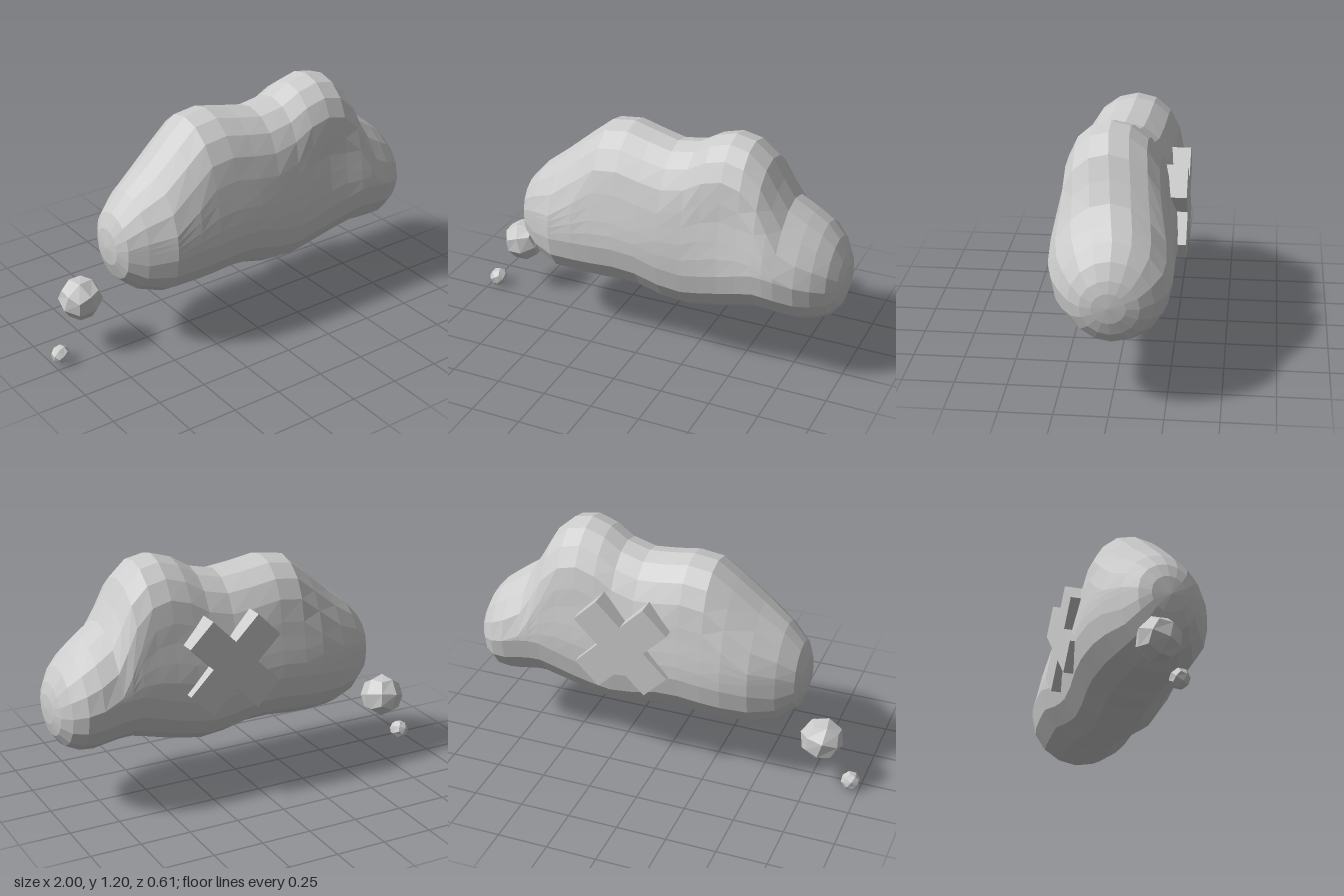
import * as THREE from 'three';

const material = new THREE.MeshStandardMaterial({ color: 0xcccccc, flatShading: true });

// Cloud cross-sections along x: [x, bottom, top, back z, front z, lean of the top in z]
const SECTIONS = [
  [-0.71, 0.58, 0.58, 0, 0, 0],
  [-0.7, 0.49, 0.675, -0.09, 0.08, 0],
  [-0.67, 0.41, 0.75, -0.145, 0.135, 0],
  [-0.59, 0.335, 0.84, -0.2, 0.19, 0],
  [-0.47, 0.292, 0.935, -0.26, 0.258, -0.01],
  [-0.34, 0.288, 1.045, -0.283, 0.272, -0.02],
  [-0.24, 0.292, 1.125, -0.285, 0.277, -0.03],
  [-0.12, 0.302, 1.14, -0.282, 0.28, -0.03],
  [0, 0.296, 1.115, -0.276, 0.282, -0.02],
  [0.12, 0.265, 1.095, -0.268, 0.28, 0],
  [0.24, 0.253, 1.12, -0.265, 0.275, 0.02],
  [0.33, 0.268, 1.175, -0.265, 0.273, 0.03],
  [0.43, 0.29, 1.205, -0.266, 0.275, 0.035],
  [0.525, 0.315, 1.185, -0.268, 0.285, 0.035],
  [0.61, 0.335, 1.11, -0.271, 0.298, 0.03],
  [0.665, 0.333, 1.01, -0.272, 0.303, 0.02],
  [0.72, 0.326, 0.92, -0.272, 0.3, 0.01],
  [0.81, 0.315, 0.86, -0.27, 0.275, 0],
  [0.88, 0.325, 0.808, -0.252, 0.235, 0],
  [0.94, 0.352, 0.74, -0.2, 0.185, 0],
  [0.978, 0.405, 0.665, -0.14, 0.13, 0],
  [0.994, 0.465, 0.61, -0.08, 0.075, 0],
  [1.0, 0.54, 0.54, 0, 0, 0],
];

// Upright rounded outline: half circles above and below straight sides, slimmer in the upper part
function ring([x, bottom, top, back, front, lean]) {
  const w = (front - back) / 2, h = (top - bottom) / 2;
  const r = Math.min(w, h), straight = h - r;
  const cy = (top + bottom) / 2, cz = (front + back) / 2;
  const points = [];
  const add = (a, level) => {
    const y = cy + level * straight + r * Math.sin(a);
    const slim = 1 - 0.16 * THREE.MathUtils.smoothstep(y, 0.6, 0.95);
    const up = Math.max(0, (y - 0.6) / 0.6);
    points.push([x, y, cz + w * Math.cos(a) * slim + lean * up * up]);
  };
  const N = 8;
  for (let i = 0; i <= N; i++) add((i / N) * Math.PI, 1);
  for (const level of [0.5, 0, -0.5]) add(Math.PI, level);
  for (let i = 0; i <= N; i++) add(Math.PI + (i / N) * Math.PI, -1);
  for (const level of [-0.5, 0, 0.5]) add(0, level);
  return points;
}

function cloudGeometry() {
  const rings = SECTIONS.map(ring);
  const n = rings[0].length;
  const index = [];
  for (let s = 0; s < rings.length - 1; s++) {
    for (let i = 0; i < n; i++) {
      const j = (i + 1) % n, a = s * n, b = a + n;
      index.push(a + i, b + i, b + j, a + i, b + j, a + j);
    }
  }
  const geometry = new THREE.BufferGeometry();
  geometry.setAttribute('position', new THREE.Float32BufferAttribute(rings.flat(2), 3));
  geometry.setIndex(index);
  geometry.computeVertexNormals();
  return geometry;
}

// Low-poly ball made from a cube pushed out to a sphere
function ballGeometry(radius) {
  const geometry = new THREE.BoxGeometry(1, 1, 1, 2, 2, 2);
  const p = geometry.attributes.position, v = new THREE.Vector3();
  for (let i = 0; i < p.count; i++) {
    v.fromBufferAttribute(p, i).setLength(radius);
    p.setXYZ(i, v.x, v.y, v.z);
  }
  geometry.computeVertexNormals();
  return geometry;
}

// Diagonal cross outline with square arms
function crossGeometry(d, depth) {
  const shape = new THREE.Shape();
  for (let k = 0; k < 4; k++) {
    const c = Math.round(Math.cos(k * Math.PI / 2)), s = Math.round(Math.sin(k * Math.PI / 2));
    for (const [x, y] of [[d, 0], [2 * d, d], [d, 2 * d]]) {
      const px = x * c - y * s, py = x * s + y * c;
      if (k === 0 && y === 0) shape.moveTo(px, py);
      else shape.lineTo(px, py);
    }
  }
  shape.closePath();
  return new THREE.ExtrudeGeometry(shape, { depth, bevelEnabled: false });
}

export function createModel() {
  const group = new THREE.Group();
  const add = (name, geometry, x, y, z) => {
    const mesh = new THREE.Mesh(geometry, material);
    mesh.name = name;
    mesh.position.set(x, y, z);
    group.add(mesh);
    return mesh;
  };

  add('cloud', cloudGeometry(), 0, 0, 0);
  add('backCross', crossGeometry(0.1185, 0.12), 0.155, 0.707, -0.305);

  // Trailing bubbles
  add('largeBubble', ballGeometry(0.108), -0.808, 0.292, -0.096).rotation.set(0.3, 0.25, 0.2);
  add('smallBubble', ballGeometry(0.048), -0.955, 0.049, -0.055).rotation.set(0.4, 0.3, 0.5);

  return group;
}
